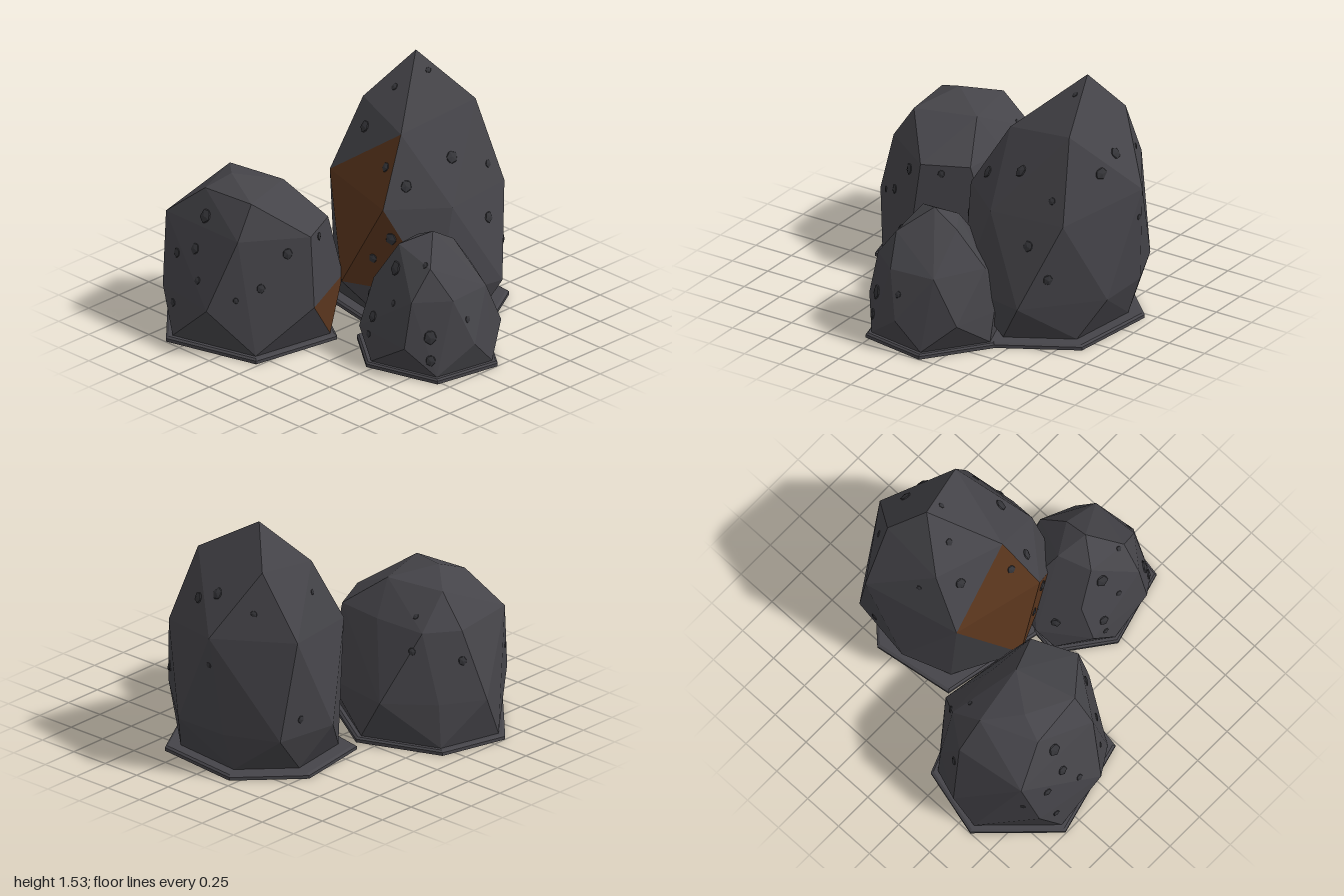
import * as THREE from 'three';
import { ConvexGeometry } from 'three/addons/geometries/ConvexGeometry.js';

const stone = new THREE.MeshStandardMaterial({ color: 0x454449 });
stone.name = 'dark stone';
const rust = new THREE.MeshStandardMaterial({ color: 0x58341c });
rust.name = 'rust brown';
const chipStone = new THREE.MeshStandardMaterial({ color: 0x343438 });
chipStone.name = 'chip stone';

// Feet and tiers hold corners as [angle in degrees, distance from the axis]; tiers are keyed by height.
const leftFoot = [[41, 0.57], [107, 0.555], [167, 0.565], [214, 0.53], [278, 0.5], [339, 0.565]];
const leftTiers = {
  0.3: [[3, 0.57], [73, 0.54], [123, 0.52], [182, 0.54], [215, 0.47], [257, 0.5], [312, 0.55]],
  0.73: [[0, 0.51], [54, 0.44], [135, 0.49], [193, 0.42], [227, 0.39], [285, 0.31], [325, 0.47]],
  0.93: [[43, 0.33], [113, 0.28], [199, 0.26], [312, 0.2]],
  0.99: [[118, 0.11]],
};
const tallFoot = [[4, 0.59], [75, 0.5], [144, 0.61], [194, 0.59], [243, 0.54], [308, 0.53]];
const tallTiers = {
  0.28: [[34, 0.577], [99, 0.567], [174, 0.58], [213, 0.62], [248, 0.52], [288, 0.51], [348, 0.58]],
  0.8: [[20, 0.46], [70.5, 0.5], [320, 0.5]],
  0.83: [[140, 0.53]],
  0.9: [[203, 0.62], [256, 0.555]],
  1.19: [[70, 0.26]],
  1.25: [[161, 0.37]],
  1.3: [[221, 0.44], [310, 0.33]],
  1.53: [[219, 0.21]],
};
const smallFoot = [[38, 0.45], [105, 0.42], [158, 0.455], [217, 0.46], [277, 0.435], [341, 0.455]];
const smallTiers = {
  0.2: [[4, 0.42], [65, 0.41], [126, 0.41], [173, 0.44], [216, 0.43], [269, 0.39], [312, 0.43]],
  0.48: [[20, 0.35], [61, 0.355], [136, 0.32], [202, 0.31], [272, 0.34], [331, 0.355]],
  0.66: [[42, 0.255]],
  0.7: [[200, 0.15], [287, 0.17]],
  0.73: [[117, 0.18]],
  0.8: [[0, 0.04]],
};

// Chips by the side they are seen from: two coordinates across that side, then a radius.
const leftChips = {
  front: [[-0.49, 0.79, 0.045], [-0.5, 0.6, 0.035], [-0.64, 0.53, 0.03], [-0.42, 0.44, 0.025], [-0.62, 0.23, 0.025],
    [-0.79, 0.47, 0.02], [-0.01, 0.64, 0.035], [-0.08, 0.44, 0.03], [-0.17, 0.37, 0.02]],
  right: [[0.35, 0.68, 0.025]],
  top: [[-0.62, 0.23, 0.02]],
  left: [[0.35, 0.55, 0.03]],
  back: [[-0.68, 0.62, 0.025]],
};
const tallChips = {
  front: [[-0.12, 1.35, 0.025], [-0.2, 1.12, 0.038], [0.1, 1, 0.03], [0.25, 0.92, 0.038], [-0.38, 1.09, 0.02],
    [0.25, 0.62, 0.04], [0.14, 0.47, 0.03], [0.22, 0.31, 0.03]],
  right: [[-0.58, 1.44, 0.02], [-0.43, 1.04, 0.04], [-0.68, 0.93, 0.025], [-0.85, 1.05, 0.04],
    [-0.58, 0.65, 0.035], [-0.71, 0.46, 0.035]],
  top: [[-0.03, -0.85, 0.038], [-0.29, -0.82, 0.022]],
  left: [[-0.65, 0.39, 0.025]],
  back: [[-0.08, 0.72, 0.02]],
};
const smallChips = {
  front: [[0.52, 0.6, 0.045], [0.58, 0.42, 0.022], [0.43, 0.29, 0.035], [0.42, 0.18, 0.022],
    [0.84, 0.27, 0.045], [0.86, 0.13, 0.035], [0.22, 0.31, 0.035]],
  right: [[0.04, 0.35, 0.022], [0.17, 0.67, 0.02]],
};

const polar = ([x, z], y, degrees, r) => {
  const a = THREE.MathUtils.degToRad(degrees);
  return new THREE.Vector3(x + r * Math.cos(a), y, z + r * Math.sin(a));
};

// Hull triangles whose corners all belong to one listed face become rust coloured.
function paintFaces(geometry, faces) {
  const position = geometry.attributes.position;
  const p = new THREE.Vector3();
  for (let i = 0; i < position.count; i += 3) {
    const painted = faces.some((face) => [0, 1, 2].every((k) => {
      p.fromBufferAttribute(position, i + k);
      return face.some((corner) => corner.distanceTo(p) < 1e-4);
    }));
    geometry.addGroup(i, 3, painted ? 1 : 0);
  }
}

// Ray start for each side; rays run straight into the model.
const rayStart = {
  front: (a, b) => new THREE.Vector3(a, b, 3),
  back: (a, b) => new THREE.Vector3(a, b, -3),
  right: (a, b) => new THREE.Vector3(3, b, a),
  left: (a, b) => new THREE.Vector3(-3, b, a),
  top: (a, b) => new THREE.Vector3(a, 3, b),
};
const rayDirection = {
  front: new THREE.Vector3(0, 0, -1),
  back: new THREE.Vector3(0, 0, 1),
  right: new THREE.Vector3(-1, 0, 0),
  left: new THREE.Vector3(1, 0, 0),
  top: new THREE.Vector3(0, -1, 0),
};

// Small flattened five-sided chips, half sunk into the rock
function addChips(group, rock, chips) {
  for (const side of Object.keys(chips)) {
    chips[side].forEach(([a, b, r], i) => {
      const caster = new THREE.Raycaster(rayStart[side](a, b), rayDirection[side]);
      const [hit] = caster.intersectObject(rock);
      if (!hit) return;
      const geometry = new THREE.IcosahedronGeometry(r, 0);
      geometry.rotateX(Math.atan(0.618)).rotateZ(i * 1.3).scale(0.95, 1.1, 0.4);
      const chip = new THREE.Mesh(geometry, chipStone);
      chip.name = 'stoneChip';
      chip.position.copy(hit.point);
      chip.quaternion.setFromUnitVectors(new THREE.Vector3(0, 0, 1), hit.face.normal);
      group.add(chip);
    });
  }
}

// rustFaces lists hull corners by number: 0-5 is the base, then the tiers upward.
function makeBoulder({ name, centre, foot, tiers, inset, chips, rustFaces = [] }) {
  const group = new THREE.Group();
  group.name = name;
  const ring = (y, scale) => foot.map(([degrees, r]) => polar(centre, y, degrees, r * scale));

  // Thin six-sided slab under the boulder
  const slab = new THREE.Mesh(new ConvexGeometry([...ring(0, 1), ...ring(0.02, 1), ...ring(0.03, 0.97)]), stone);
  slab.name = 'footSlab';

  // Faceted rock, wrapped around the base ring and the tiers
  const corners = ring(0.03, inset);
  for (const y of Object.keys(tiers).map(Number).sort((a, b) => a - b)) {
    for (const [degrees, r] of tiers[y]) corners.push(polar(centre, y, degrees, r));
  }
  const geometry = new ConvexGeometry(corners);
  paintFaces(geometry, rustFaces.map((face) => face.map((n) => corners[n])));
  const rock = new THREE.Mesh(geometry, [stone, rust]);
  rock.name = 'rock';

  group.add(slab, rock);
  addChips(group, rock, chips);
  return group;
}

export function createModel() {
  const model = new THREE.Group();
  model.name = 'boulderCluster';
  model.add(
    makeBoulder({
      name: 'leftBoulder', centre: [-0.45, 0.465], foot: leftFoot, tiers: leftTiers,
      inset: 0.92, chips: leftChips, rustFaces: [[5, 6, 12]],
    }),
    makeBoulder({
      name: 'tallBoulder', centre: [0.04, -0.46], foot: tallFoot, tiers: tallTiers,
      inset: 0.82, chips: tallChips, rustFaces: [[14, 16, 19], [7, 14, 16], [6, 7, 14]],
    }),
    makeBoulder({
      name: 'smallBoulder', centre: [0.57, 0], foot: smallFoot, tiers: smallTiers,
      inset: 0.92, chips: smallChips,
    }),
  );
  return model;
}
